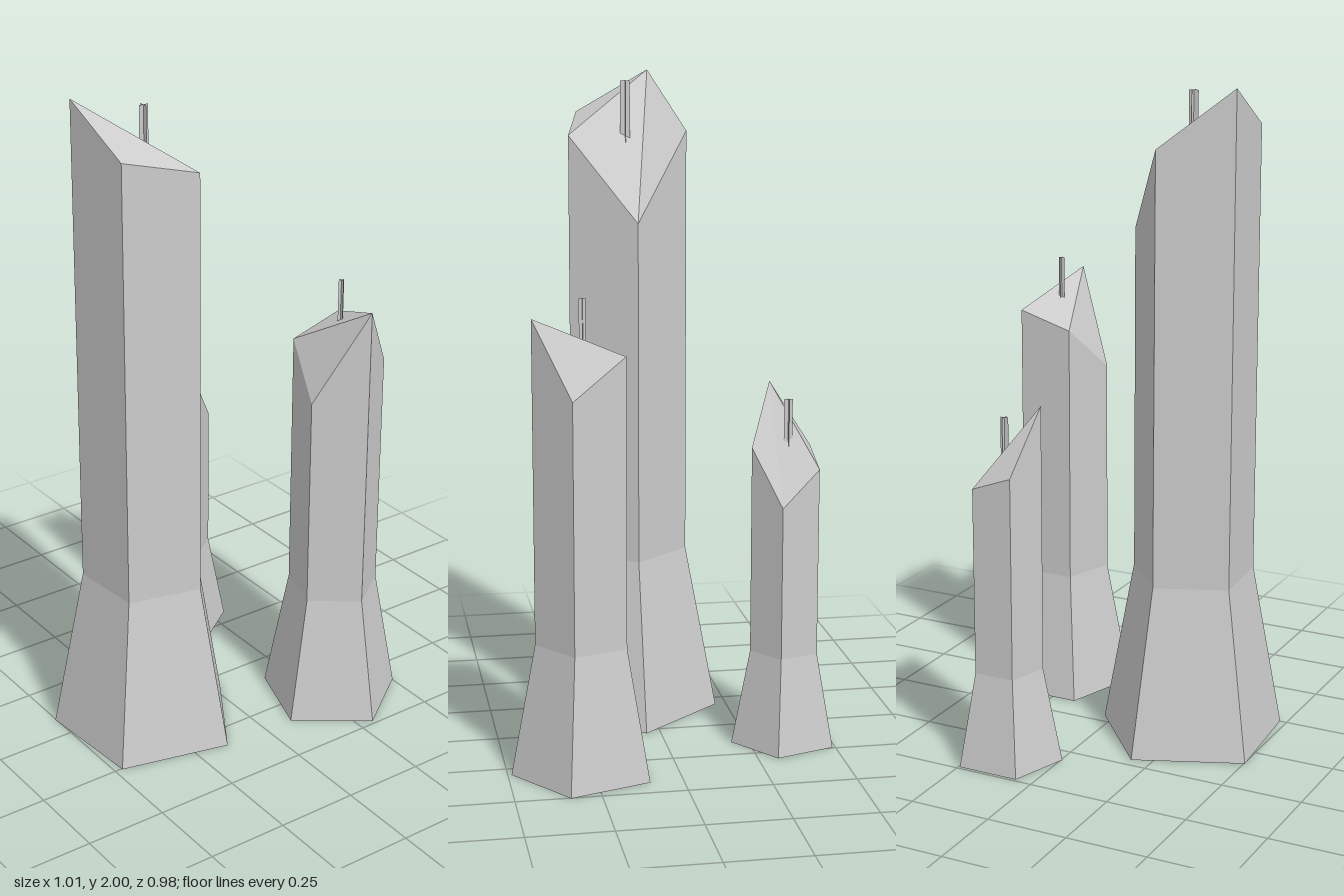
import * as THREE from 'three';

const SIDES = 5;

// Five-sided shaft with a flared foot and a cut crystal top.
// tops: height of each corner; the roof fans out from the highest one.
function shaftGeometry({ footRadius, radius, flareY, turn, tops }) {
  const ring = (r, height) => tops.map((_, i) => {
    const a = THREE.MathUtils.degToRad(turn) + (i * 2 * Math.PI) / SIDES;
    return [r * Math.cos(a), height(i), r * Math.sin(a)];
  });
  const rings = [ring(footRadius, () => 0), ring(radius, () => flareY), ring(radius, i => tops[i])];
  const pos = [];
  const tri = (a, b, c) => pos.push(...a, ...b, ...c);

  // walls
  for (let k = 0; k < 2; k++) {
    const lo = rings[k], hi = rings[k + 1];
    for (let i = 0; i < SIDES; i++) {
      const j = (i + 1) % SIDES;
      tri(lo[i], hi[i], hi[j]);
      tri(lo[i], hi[j], lo[j]);
    }
  }
  // roof and underside
  const peak = tops.indexOf(Math.max(...tops));
  for (let k = 1; k < SIDES - 1; k++) {
    const a = (peak + k) % SIDES, b = (peak + k + 1) % SIDES;
    tri(rings[2][peak], rings[2][b], rings[2][a]);
    tri(rings[0][0], rings[0][k], rings[0][k + 1]);
  }

  const geo = new THREE.BufferGeometry();
  geo.setAttribute('position', new THREE.Float32BufferAttribute(pos, 3));
  geo.computeVertexNormals();
  return geo;
}

const towers = [
  { name: 'tallTower', x: -0.256, z: 0.066, footRadius: 0.29, radius: 0.192, flareY: 0.52, turn: -4.4,
    tops: [1.565, 1.82, 1.875, 2.0, 1.827],
    mast: { x: 0.012, z: -0.004, width: 0.03, from: 1.7, to: 1.977 } },
  { name: 'middleTower', x: 0.298, z: 0.273, footRadius: 0.216, radius: 0.142, flareY: 0.395, turn: 18,
    tops: [1.135, 1.35, 1.06, 1.2, 1.25],
    mast: { x: 0.001, z: -0.003, width: 0.02, from: 1.2, to: 1.405 } },
  { name: 'smallTower', x: 0.15, z: -0.36, footRadius: 0.162, radius: 0.106, flareY: 0.29, turn: 18,
    tops: [0.755, 0.92, 1.1, 0.907, 0.86],
    mast: { x: 0, z: -0.003, width: 0.026, from: 0.86, to: 1.063 } },
];

export function createModel() {
  const model = new THREE.Group();
  model.name = 'crystalTowers';
  const stone = new THREE.MeshStandardMaterial({ color: 0xcccccc, flatShading: true });
  const thin = new THREE.MeshStandardMaterial({ color: 0xcccccc, flatShading: true, side: THREE.DoubleSide });

  for (const t of towers) {
    const tower = new THREE.Group();
    tower.name = t.name;
    tower.position.set(t.x, 0, t.z);

    const shaft = new THREE.Mesh(shaftGeometry(t), stone);
    shaft.name = 'shaft';
    tower.add(shaft);

    // roof mast: two thin crossed blades
    const { x, z, width, from, to } = t.mast;
    const mast = new THREE.Group();
    mast.name = 'mast';
    mast.position.set(x, (from + to) / 2, z);
    for (const angle of [0, Math.PI / 2]) {
      const blade = new THREE.Mesh(new THREE.PlaneGeometry(width, to - from), thin);
      blade.name = 'mastBlade';
      blade.rotation.y = angle;
      mast.add(blade);
    }
    tower.add(mast);
    model.add(tower);
  }
  return model;
}
